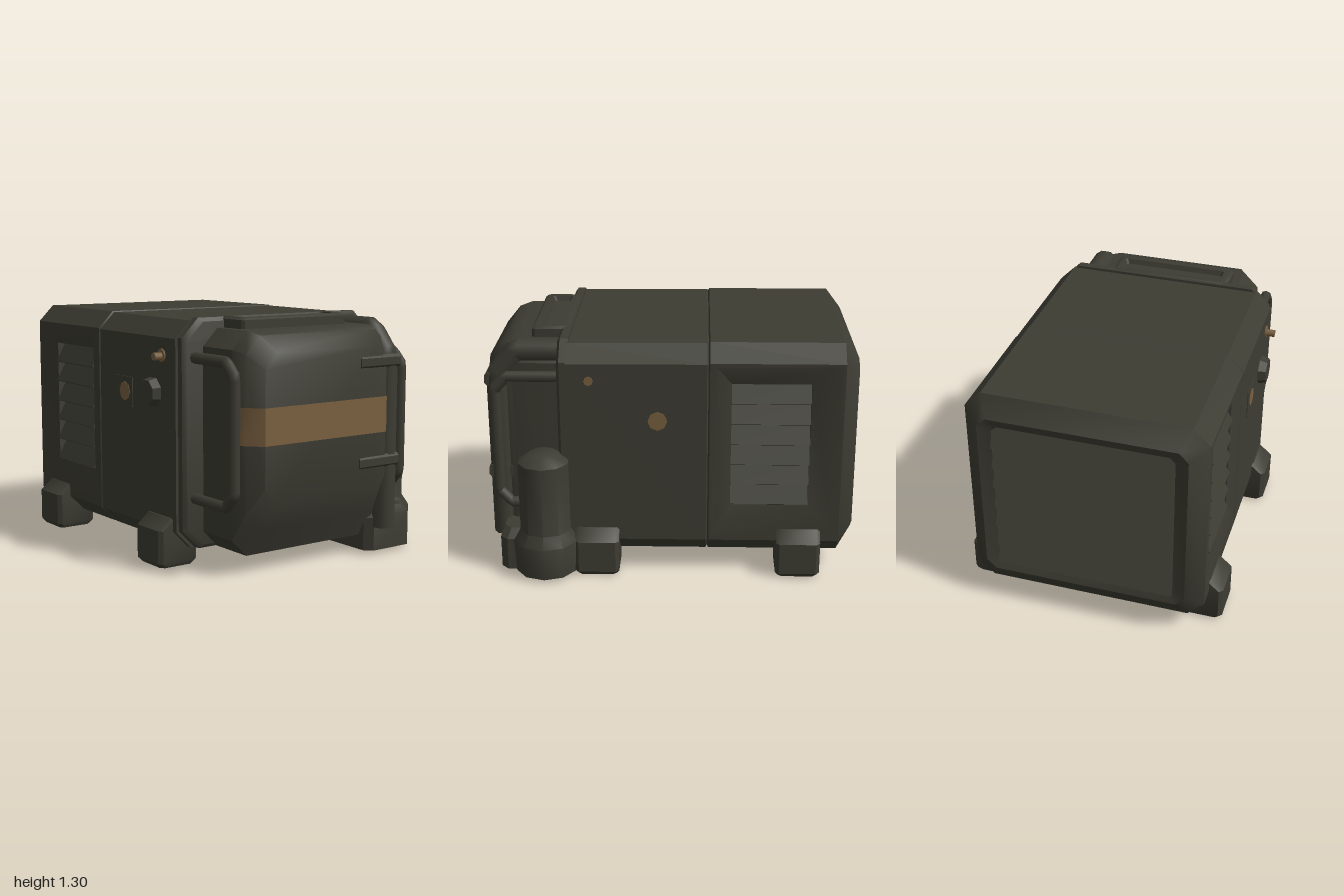
import * as THREE from 'three';
import { toCreasedNormals } from 'three/addons/utils/BufferGeometryUtils.js';

const casing = new THREE.MeshStandardMaterial({ color: 0x3d3c33 });
casing.name = 'dark olive casing';
const tan = new THREE.MeshStandardMaterial({ color: 0x7a6141 });
tan.name = 'tan paint';

// Chamfered rectangle across an axis; a and b are the next two axes in x, y, z order
function ring(axis, p, a0, a1, b0, b1, c = 0) {
  const ab = c
    ? [[a1, b0 + c], [a1, b1 - c], [a1 - c, b1], [a0 + c, b1], [a0, b1 - c], [a0, b0 + c], [a0 + c, b0], [a1 - c, b0]]
    : [[a1, b0], [a1, b1], [a0, b1], [a0, b0]];
  const k = 'xyz'.indexOf(axis);
  return ab.map(([a, b]) => {
    const v = [0, 0, 0];
    v[k] = p; v[(k + 1) % 3] = a; v[(k + 2) % 3] = b;
    return v;
  });
}

// Joins loops of equal length; optional end faces and skipped quads
function loft(loops, { start = true, end = true, skip = () => false, crease = 0.6 } = {}) {
  const n = loops[0].length, idx = [];
  for (let i = 0; i < loops.length - 1; i++) {
    for (let j = 0; j < n; j++) {
      if (skip(i, j)) continue;
      const a = i * n + j, b = i * n + (j + 1) % n;
      idx.push(a, b, b + n, a, b + n, a + n);
    }
  }
  const last = (loops.length - 1) * n;
  for (let j = 1; j < n - 1; j++) {
    if (start) idx.push(0, j + 1, j);
    if (end) idx.push(last, last + j, last + j + 1);
  }
  const g = new THREE.BufferGeometry();
  g.setAttribute('position', new THREE.Float32BufferAttribute(loops.flat(2), 3));
  g.setIndex(idx);
  return toCreasedNormals(g, crease);
}

export function createModel() {
  const model = new THREE.Group();
  model.name = 'generator';
  const add = (name, geo, mat = casing, x = 0, y = 0, z = 0) => {
    const m = new THREE.Mesh(geo, mat);
    m.name = name;
    m.position.set(x, y, z);
    model.add(m);
    return m;
  };
  const box = (name, w, h, d, x, y, z) => add(name, new THREE.BoxGeometry(w, h, d), casing, x, y, z);

  // Vented half of the housing, with a recess in its end and open sides for the vents
  add('ventHousing', loft([
    ring('x', -0.92, 0.27, 1.14, -0.43, 0.53, 0.03),
    ring('x', -0.97, 0.27, 1.14, -0.43, 0.53, 0.03),
    ring('x', -0.99, 0.22, 1.19, -0.5, 0.6, 0.05),
    ring('x', -0.91, 0.1, 1.29, -0.59, 0.69, 0.09),
    ring('x', -0.205, 0.1, 1.29, -0.59, 0.69, 0.09),
    ring('x', -0.197, 0.11, 1.28, -0.58, 0.68, 0.09),
  ], { skip: (i, j) => i === 3 && (j === 2 || j === 6) }));

  // Plain half of the housing
  add('mainHousing', loft([
    ring('x', -0.197, 0.11, 1.28, -0.58, 0.68, 0.09),
    ring('x', -0.19, 0.1, 1.285, -0.59, 0.69, 0.09),
    ring('x', 0.55, 0.1, 1.28, -0.59, 0.685, 0.09),
  ]));

  for (const s of [1, -1]) {
    const face = s > 0 ? 0.69 : -0.59;

    // Dished side panel and its slats
    const loops = [
      ring('z', face, -0.91, -0.205, 0.19, 1.2),
      ring('z', face, -0.87, -0.24, 0.27, 1.18),
      ring('z', face - s * 0.03, -0.74, -0.32, 0.39, 1.08),
      ring('z', face - s * 0.1, -0.74, -0.32, 0.39, 1.08),
    ];
    if (s < 0) loops.forEach((l) => l.reverse());
    add('sideVentPanel', loft(loops, { start: false, crease: 0.4 }));
    for (let i = 0; i < 6; i++) {
      box('sideSlat', 0.42, 0.12, 0.014, -0.53, 0.447 + i * 0.115, face - s * 0.055).rotation.x = -s * 0.5;
    }

    // Painted marks
    const mark = (r, x, y) => {
      const m = add('paintMark', new THREE.CylinderGeometry(r, r, 0.008, 8), tan, x, y, face + s * 0.001);
      m.rotation.x = Math.PI / 2;
    };
    mark(0.052, 0.07, 0.88);
    mark(s > 0 ? 0.035 : 0.025, 0.43, 1.1);

    // Guard handle beside the end cover
    const z = s > 0 ? 0.6 : -0.505;
    const pts = [[0.57, 1.095], [0.87, 1.095], [0.935, 1.03], [0.935, 0.44], [0.87, 0.37], [0.57, 0.37]]
      .map(([x, y]) => new THREE.Vector3(x, y, z));
    const path = new THREE.CurvePath();
    for (let i = 1; i < pts.length; i++) path.add(new THREE.LineCurve3(pts[i - 1], pts[i]));
    add('guardHandle', new THREE.TubeGeometry(path, 60, 0.03, 8));

    // Feet, narrower towards the outer top edge
    for (const x of [-0.69, 0.4]) {
      const foot = (y, inset, inner, outer) => {
        const zs = s > 0 ? [inner, outer] : [0.1 - outer, 0.1 - inner];
        return ring('y', y, zs[0], zs[1], x - 0.12 + inset, x + 0.12 - inset, 0.02);
      };
      add('foot', loft([foot(0, 0.015, 0.55, 0.745), foot(0.025, 0, 0.53, 0.765),
        foot(0.2, 0, 0.53, 0.765), foot(0.26, 0, 0.53, 0.695)]));
    }
  }

  // End grille slats
  for (let i = 0; i < 7; i++) {
    box('endSlat', 0.014, 0.13, 0.96, -0.962, 0.332 + i * 0.124, 0.05).rotation.z = -0.45;
  }

  // Front fittings: patch plate, knob and small spout
  box('patchPlate', 0.17, 0.16, 0.006, 0.06, 0.88, 0.69);
  add('knob', toCreasedNormals(new THREE.CylinderGeometry(0.07, 0.083, 0.045, 8), 0.5), casing, 0.34, 0.9, 0.708)
    .rotation.set(Math.PI / 2, Math.PI / 8, 0);
  add('spout', new THREE.CylinderGeometry(0.02, 0.02, 0.06, 10), tan, 0.43, 1.095, 0.71).rotation.x = Math.PI / 2;

  // Collar between housing and end cover
  add('collar', loft([
    ring('x', 0.54, 0.1, 1.295, -0.575, 0.67, 0.1),
    ring('x', 0.585, 0.1, 1.295, -0.575, 0.67, 0.1),
    ring('x', 0.6, 0.12, 1.275, -0.555, 0.65, 0.1),
  ]));

  // End cover with sloping rim
  add('endCover', loft([
    ring('x', 0.57, 0.1, 1.24, -0.45, 0.55, 0.09),
    ring('x', 0.85, 0.1, 1.24, -0.45, 0.55, 0.09),
    ring('x', 0.92, 0.24, 1.22, -0.42, 0.52, 0.09),
    ring('x', 0.99, 0.38, 1.14, -0.35, 0.45, 0.08),
  ], { crease: 0.75 }));

  // Painted band wrapped round the cover
  const outer = [[0.875, 0.545], [0.922, 0.525], [0.995, 0.453], [0.995, -0.353]];
  const inner = outer.map(([x, z]) => [x - 0.007, z - Math.sign(z) * 0.004]).reverse();
  const band = [0.68, 0.87].map((y) => [...outer, ...inner].map(([x, z]) => [x, y, z]));
  add('paintedBand', loft(band, { start: false, end: false }), tan);

  // Recessed hatch on top of the cover
  add('topHatch', loft([
    ring('y', 1.22, -0.27, 0.42, 0.55, 0.76, 0.015),
    ring('y', 1.285, -0.27, 0.42, 0.55, 0.76, 0.015),
    ring('y', 1.298, -0.255, 0.405, 0.565, 0.745, 0.015),
    ring('y', 1.298, -0.23, 0.37, 0.6, 0.71, 0.01),
    ring('y', 1.27, -0.22, 0.36, 0.61, 0.7, 0.01),
  ]));

  // Exhaust pipe: up the cover's corner and back over to the collar
  const exhaust = new THREE.CurvePath();
  const ep = [[0.93, 0.15, -0.4], [0.93, 1.08, -0.4], [0.82, 1.21, -0.4], [0.57, 1.21, -0.4]]
    .map((p) => new THREE.Vector3(...p));
  for (let i = 1; i < ep.length; i++) exhaust.add(new THREE.LineCurve3(ep[i - 1], ep[i]));
  add('exhaustPipe', new THREE.TubeGeometry(exhaust, 50, 0.065, 10));
  for (const y of [1.055, 0.525]) {
    add('pipeClamp', loft([
      ring('z', -0.445, 0.86, 1, y - 0.035, y + 0.035, 0.015),
      ring('z', -0.23, 0.92, 1, y - 0.035, y + 0.035, 0.015),
      ring('z', -0.17, 0.96, 0.998, y - 0.03, y + 0.03, 0.01),
    ]));
  }

  // Block under the pipe
  add('pipeBase', loft([
    ring('y', 0.02, -0.63, -0.3, 0.56, 0.93, 0.04),
    ring('y', 0.2, -0.63, -0.3, 0.54, 0.93, 0.04),
    ring('y', 0.25, -0.59, -0.33, 0.58, 0.91, 0.04),
  ]));

  // Filter tank with flared foot
  const profile = [[0, 0.02], [0.17, 0.02], [0.18, 0.2], [0.14, 0.26], [0.14, 0.65], [0.07, 0.7], [0, 0.7]]
    .map(([r, y]) => new THREE.Vector2(r, y));
  add('filterTank', toCreasedNormals(new THREE.LatheGeometry(profile, 10).toNonIndexed(), 0.7), casing, 0.68, 0, -0.59);

  return model;
}
